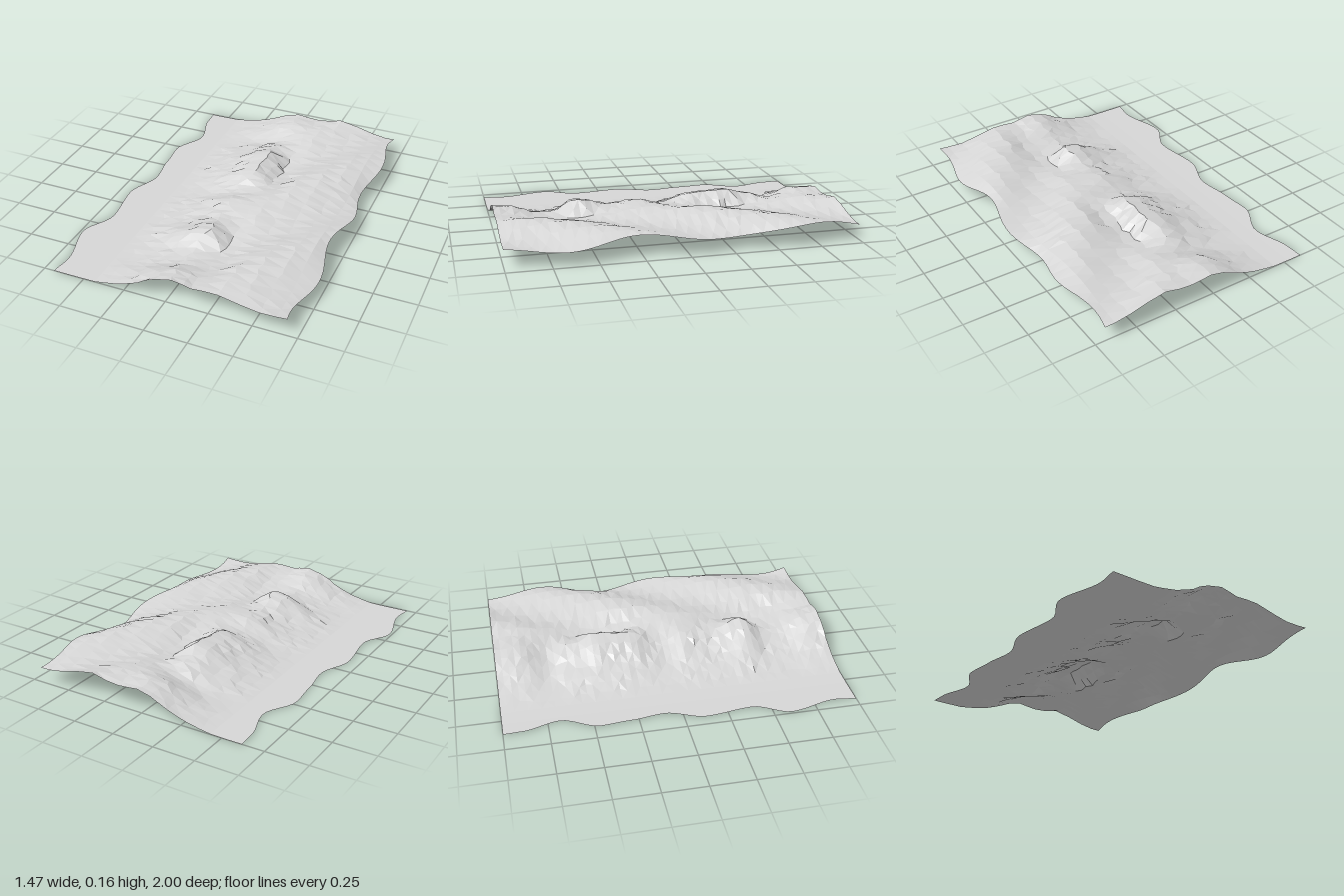
import * as THREE from 'three';

// Smooth curve through [z, value] pairs, sampled by z
function keyed(pairs) {
  return (z) => {
    let i = 0;
    while (i < pairs.length - 2 && z > pairs[i + 1][0]) i++;
    const [a, b] = [pairs[i], pairs[i + 1]];
    const t = THREE.MathUtils.smoothstep(z, a[0], b[0]);
    return a[1] + (b[1] - a[1]) * t;
  };
}

// Wavy shoreline on the low side
const shoreX = keyed([[-1, -0.62], [-0.9, -0.615], [-0.68, -0.56], [-0.47, -0.65], [-0.3, -0.635],
  [-0.1, -0.61], [0.12, -0.682], [0.4, -0.65], [0.6, -0.737], [0.88, -0.675], [1, -0.69]]);

// Height of the crest running along z
const crestY = keyed([[-1, 0.135], [-0.85, 0.14], [-0.69, 0.08], [-0.55, 0.125], [-0.4, 0.162],
  [-0.2, 0.15], [0, 0.09], [0.14, 0.128], [0.3, 0.11], [0.5, 0.16], [0.64, 0.09], [0.74, 0.085],
  [0.9, 0.14], [1, 0.155]]);

// Cross-section of the ground at one z: points [x, y] from low shore to high edge
function section(z) {
  const c = crestY(z);
  // Swell of the plateau, its top lying at z = peak
  const swell = (peak) => 0.027 * Math.cos(2 * Math.PI * (z - peak) / 0.95);
  const shore = shoreX(z);
  const edge = 0.705 + 0.025 * Math.cos(2 * Math.PI * z / 0.6);
  const lean = (c - 0.12) * 0.6;
  const lee = 0.107 + swell(0.09);
  return [
    [shore, 0], [-0.53, 0], [-0.43, 0.002], [-0.36, c * 0.08], [-0.29, c * 0.2],
    [-0.23, c * 0.33], [-0.17, c * 0.48], [-0.11, c * 0.68], [-0.05, c * 0.87],
    [0.01 + lean, c], [0.08 + lean, c * 0.5 + lee * 0.5], [0.15, lee],
    [0.22, 0.114 + swell(0.07)], [0.32, 0.128 + swell(-0.12)], [0.43, 0.131 + swell(-0.28)],
    [0.54, 0.127 + swell(-0.45)], [0.63, 0.116 + swell(-0.58)], [edge, 0.099 + swell(-0.71)],
  ];
}

export function createModel() {
  const group = new THREE.Group();
  group.name = 'terrain';
  const stone = new THREE.MeshStandardMaterial({
    color: 0xd6d6d6, flatShading: true, side: THREE.DoubleSide,
  });
  stone.name = 'pale grey';

  let seed = 7;
  const random = () => (seed = (seed * 16807) % 2147483647) / 2147483647 - 0.5;

  const rows = 52;
  const positions = [], index = [];
  let cols = 0;
  for (let r = 0; r <= rows; r++) {
    const z = -1 + 2 * r / rows;
    const points = section(z);
    cols = points.length;
    points.forEach(([x, y], i) => {
      // Slight roughness on the slopes, none on the flat shore and the rim
      const inner = i > 2 && i < cols - 2;
      const rough = inner ? (i < 11 ? 0.007 : 0.003) * Math.min(1, y / 0.06) : 0;
      positions.push(x + (inner ? random() * 0.03 : 0), y + random() * rough, z);
    });
  }
  // Triangles facing up, with alternating diagonals
  for (let r = 0; r < rows; r++) {
    for (let i = 0; i < cols - 1; i++) {
      const a = r * cols + i, b = a + 1, c = a + cols, d = c + 1;
      if ((r + i) % 2) index.push(a, c, b, b, c, d);
      else index.push(a, c, d, a, d, b);
    }
  }
  const geometry = new THREE.BufferGeometry();
  geometry.setAttribute('position', new THREE.Float32BufferAttribute(positions, 3));
  geometry.setIndex(index);
  geometry.computeVertexNormals();

  const ground = new THREE.Mesh(geometry, stone);
  ground.name = 'ground';
  group.add(ground);
  return group;
}
